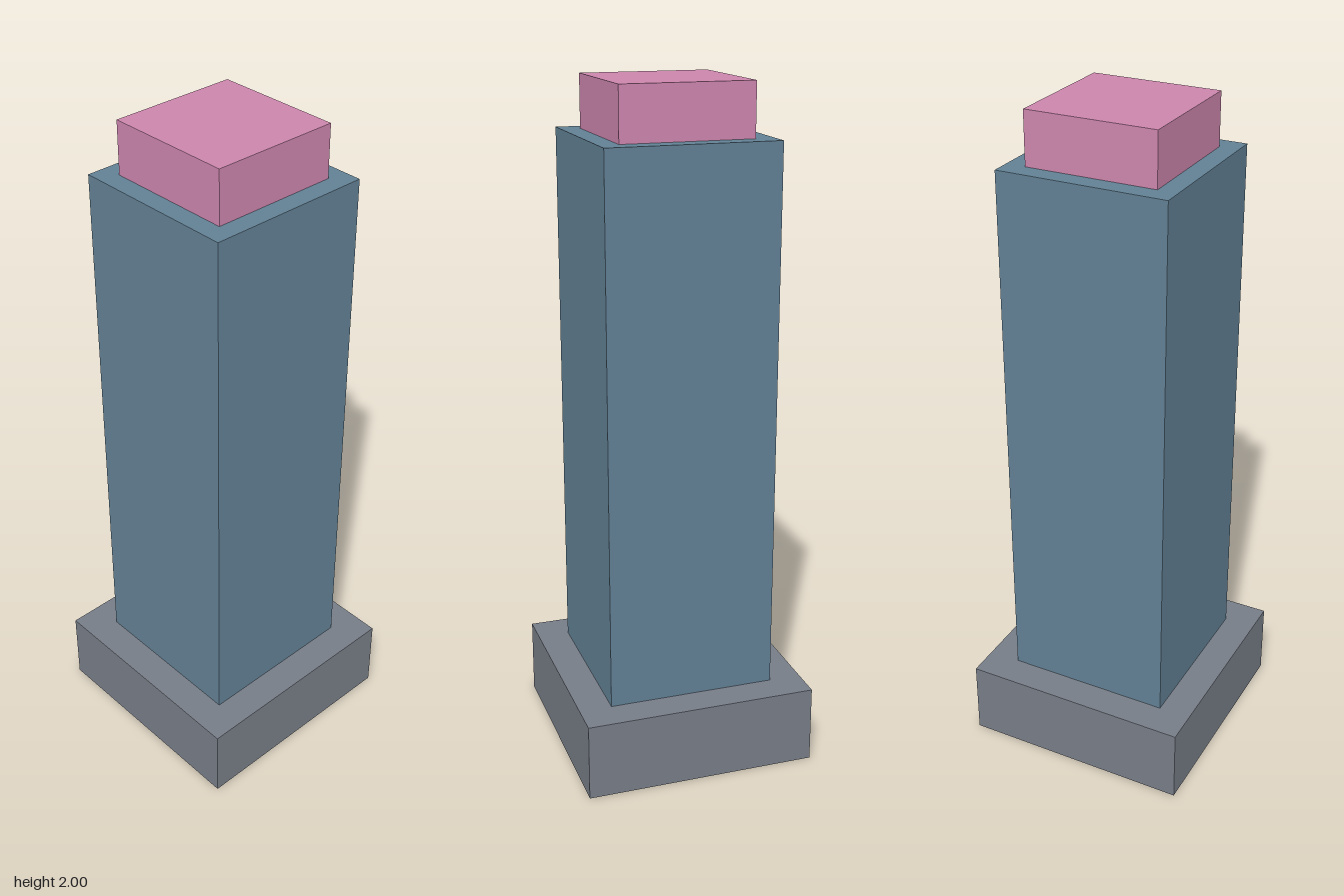
import * as THREE from 'three';

const material = (name, color) => {
  const m = new THREE.MeshStandardMaterial({ color });
  m.name = name;
  return m;
};

// Square block standing between two heights
function block(name, width, bottom, top, mat) {
  const mesh = new THREE.Mesh(new THREE.BoxGeometry(width, top - bottom, width), mat);
  mesh.name = name;
  mesh.position.y = (bottom + top) / 2;
  return mesh;
}

export function createModel() {
  const group = new THREE.Group();
  group.name = 'tower';
  group.add(
    block('base', 0.692, 0, 0.231, material('slate grey', 0x777d87)),
    block('shaft', 0.5, 0.231, 1.846, material('steel blue', 0x628094)),
    block('cap', 0.385, 1.846, 2, material('pink', 0xcc85ad)),
  );
  return group;
}
